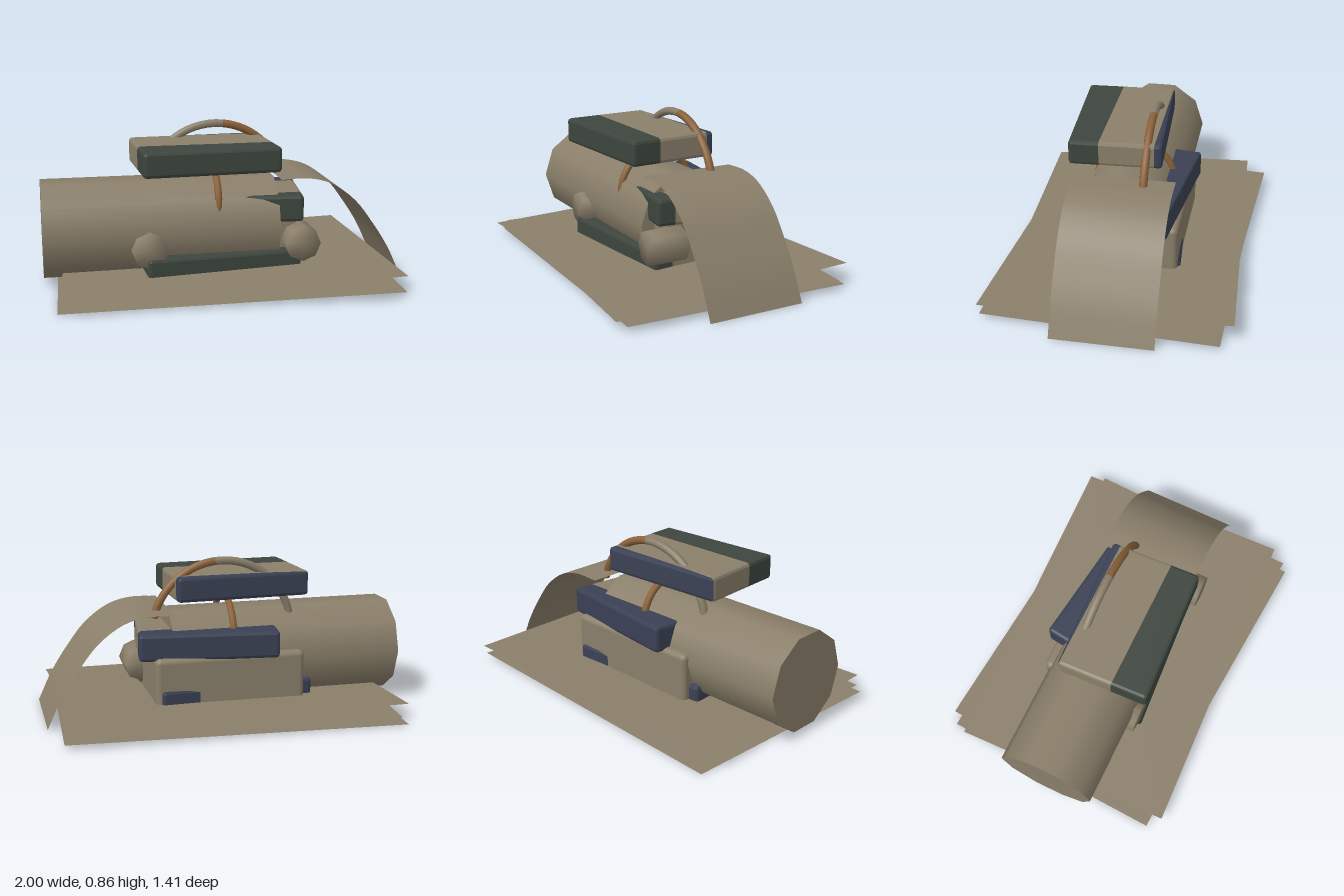
import * as THREE from 'three';
import { mergeVertices } from 'three/addons/utils/BufferGeometryUtils.js';
import { RoundedBoxGeometry } from 'three/addons/geometries/RoundedBoxGeometry.js';

function material(name, color, side = THREE.FrontSide) {
  const m = new THREE.MeshStandardMaterial({ color, side });
  m.name = name;
  return m;
}

// Keep the part of a geometry between two z planes
function sliceZ(geometry, zMin, zMax) {
  const p = geometry.index ? geometry.toNonIndexed().attributes.position : geometry.attributes.position;
  const out = [];
  const clip = (poly, sign, limit) => {
    const res = [];
    poly.forEach((a, i) => {
      const b = poly[(i + 1) % poly.length];
      const da = sign * (a.z - limit), db = sign * (b.z - limit);
      if (da >= 0) res.push(a);
      if (da * db < 0) res.push(a.clone().lerp(b, da / (da - db)));
    });
    return res;
  };
  for (let i = 0; i < p.count; i += 3) {
    let poly = [0, 1, 2].map(k => new THREE.Vector3().fromBufferAttribute(p, i + k));
    poly = clip(clip(poly, 1, zMin), -1, zMax);
    for (let k = 1; k + 1 < poly.length; k++) {
      for (const v of [poly[0], poly[k], poly[k + 1]]) out.push(v.x, v.y, v.z);
    }
  }
  const g = new THREE.BufferGeometry();
  g.setAttribute('position', new THREE.Float32BufferAttribute(out, 3));
  g.computeVertexNormals();
  return g;
}

export function createModel() {
  const root = new THREE.Group();
  const taupe = material('taupe', 0x8a7f6a, THREE.DoubleSide);
  const green = material('dark green', 0x3d463e);
  const blue = material('slate blue', 0x3a4154);
  const copper = material('copper brown', 0x8b6239, THREE.DoubleSide);

  const add = (name, geometry, mat, x = 0, y = 0, z = 0, parent = root) => {
    const mesh = new THREE.Mesh(geometry, mat);
    mesh.name = name;
    mesh.position.set(x, y, z);
    parent.add(mesh);
    return mesh;
  };

  // Stacked ground sheets, each slightly turned and tilted
  const sheets = [
    { w: 1.84, d: 1.27, turn: -0.04, h: 0.016, tx: 0.014, tz: 0.003 },
    { w: 1.78, d: 1.28, turn: -0.075, h: 0.05, tx: -0.005, tz: -0.004 },
    { w: 1.81, d: 1.25, turn: 0.04, h: 0.09, tx: 0.014, tz: -0.02 },
  ];
  sheets.forEach((s, i) => {
    const g = new THREE.PlaneGeometry(s.w, s.d).rotateX(-Math.PI / 2).rotateY(s.turn);
    const p = g.attributes.position;
    for (let k = 0; k < p.count; k++) p.setY(k, s.h + s.tx * p.getX(k) + s.tz * p.getZ(k));
    g.computeVertexNormals();
    add('groundSheet' + (i + 1), g, taupe);
  });

  // Main roll
  add('roll', new THREE.CylinderGeometry(0.275, 0.275, 1.3, 10).rotateZ(Math.PI / 2), taupe, -0.35, 0.3, 0);

  // Curved sheet running from the roll to the ground
  const curve = new THREE.CatmullRomCurve3([
    [0.3, 0.58], [0.45, 0.583], [0.58, 0.55], [0.72, 0.45], [0.83, 0.31], [0.92, 0.17], [1, 0.002],
  ].map(([x, y]) => new THREE.Vector3(x, y, 0)));
  const pts = curve.getPoints(24);
  const ramp = new THREE.PlaneGeometry(1, 0.55, 24, 1).rotateX(-Math.PI / 2);
  const rp = ramp.attributes.position;
  for (let k = 0; k < rp.count; k++) {
    const c = pts[k % 25];
    rp.setXYZ(k, c.x, c.y, rp.getZ(k));
  }
  ramp.computeVertexNormals();
  add('curvedSheet', ramp, taupe);

  // Rounded body behind the roll
  add('body', new RoundedBoxGeometry(0.84, 0.32, 0.5, 3, 0.03), taupe, -0.005, 0.19, -0.055);

  // Three bevelled slabs with green front and blue back bands
  const slabs = [
    { name: 'topSlab', size: [0.76, 0.14, 0.51], at: [-0.1, 0.7, 0.08], turn: 0.05 },
    { name: 'middleSlab', size: [0.77, 0.15, 0.51], at: [0.085, 0.405, -0.05], turn: -0.123 },
    { name: 'lowerSlab', size: [0.87, 0.165, 0.58], at: [-0.03, 0.0925, 0], turn: 0.07 },
  ];
  for (const s of slabs) {
    const group = new THREE.Group();
    group.name = s.name;
    const g = new RoundedBoxGeometry(...s.size, 1, 0.018).rotateY(s.turn).translate(...s.at);
    add('frontBand', sliceZ(g, 0.15, 9), green, 0, 0, 0, group);
    add('middleBand', sliceZ(g, -0.15, 0.15), taupe, 0, 0, 0, group);
    add('backBand', sliceZ(g, -9, -0.15), blue, 0, 0, 0, group);
    root.add(group);
  }

  // Round knobs on the front, shaded softly across their edges
  for (const x of [-0.43, 0.42]) {
    let g = new THREE.CylinderGeometry(0.1, 0.1, 0.2, 8).rotateX(Math.PI / 2);
    g.deleteAttribute('normal');
    g.deleteAttribute('uv');
    g = mergeVertices(g);
    g.computeVertexNormals();
    add(x < 0 ? 'rightKnob' : 'leftKnob', g, taupe, x, 0.22, 0.205);
  }

  // Arched handle in two colours
  const rad = THREE.MathUtils.degToRad;
  const arc = (from, to) => new THREE.TorusGeometry(0.4, 0.0225, 8, 14, rad(to - from)).rotateZ(rad(from));
  add('handleCopperHalf', arc(14, 84), copper, 0, 0.442, -0.11);
  add('handleTaupeHalf', arc(84, 168), taupe, 0, 0.442, -0.11);

  // Small cross arch under the top slab
  add('crossArch', new THREE.TorusGeometry(0.22, 0.02, 8, 20, Math.PI).rotateY(Math.PI / 2), copper, -0.04, 0.41, 0);

  // Shallow mound between the ground sheets
  const mound = new THREE.SphereGeometry(1, 16, 6, 0, Math.PI * 2, 0, Math.PI / 2).scale(0.31, 0.085, 0.43);
  add('mound', mound, copper, -0.03, 0.01, 0);

  return root;
}
